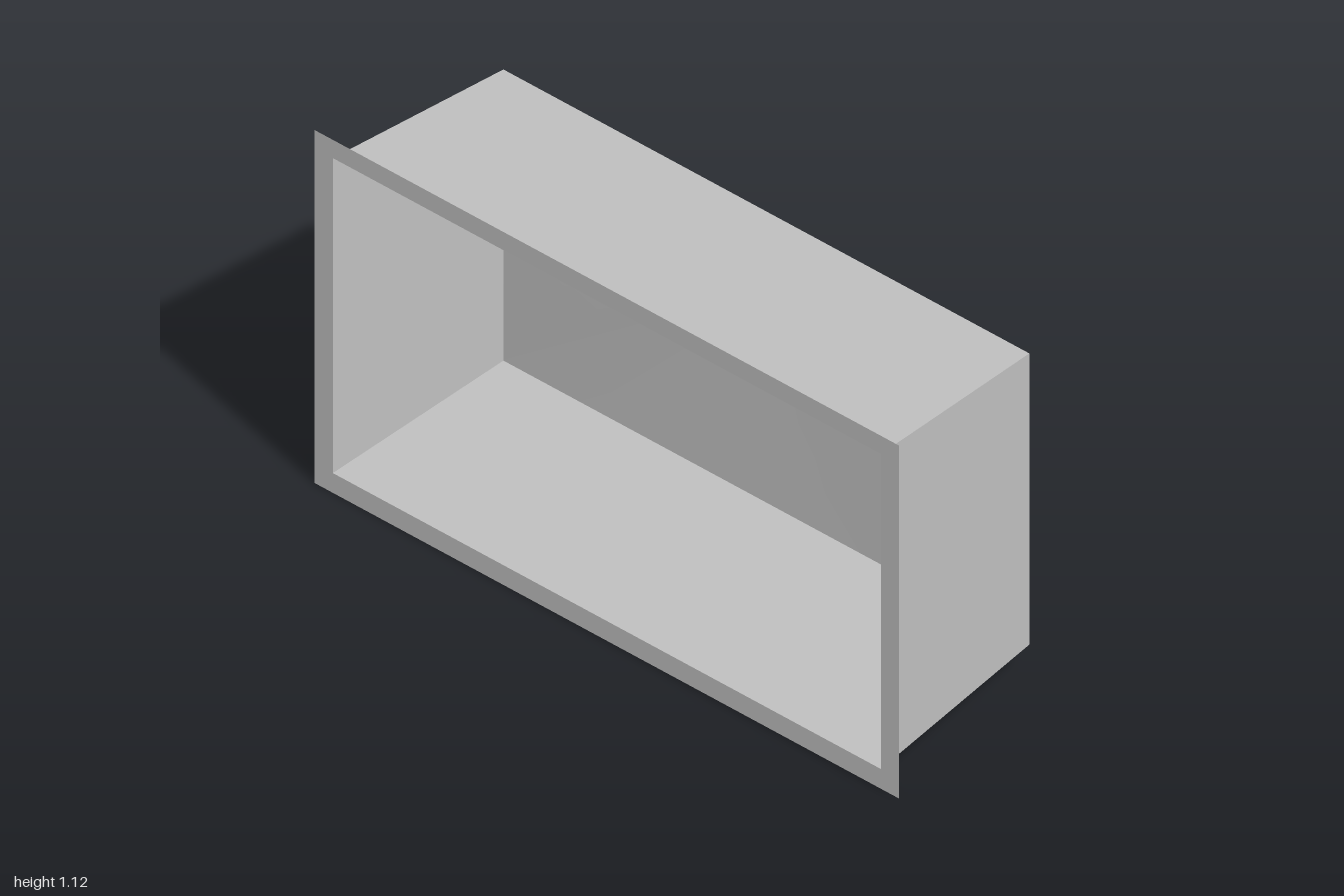
import * as THREE from 'three';

const FRONT = 0.318, FLOOR = -0.29, DRAIN_Z = -0.305, DRAIN_Y = 0.77, DRAIN_R = 0.147;

// Closed band of quads between two loops with equal numbers of points
function loft(a, b) {
  const n = a.length, index = [];
  for (let i = 0; i < n; i++) {
    const j = (i + 1) % n;
    index.push(i, j, n + j, i, n + j, n + i);
  }
  const g = new THREE.BufferGeometry().setFromPoints([...a, ...b]);
  g.setIndex(index);
  g.computeVertexNormals();
  return g;
}

// Rectangle corners, anticlockwise from the lower left
function rect(x, y0, y1, z) {
  return [[-x, y0], [x, y0], [x, y1], [-x, y1]].map(([px, py]) => new THREE.Vector3(px, py, z));
}

export function createModel() {
  const group = new THREE.Group();
  group.name = 'sink';
  const steel = new THREE.MeshStandardMaterial({ color: 0xbfbfbf, side: THREE.DoubleSide });
  steel.name = 'brushed steel';
  const add = (name, geometry) => {
    const mesh = new THREE.Mesh(geometry, steel);
    mesh.name = name;
    group.add(mesh);
    return mesh;
  };

  const mouth = rect(0.938, 0.063, 1.067, FRONT);
  const base = rect(0.9, 0.1, 1.028, FLOOR);

  // Flat mounting flange around the mouth
  const flange = new THREE.Shape(rect(1, 0, 1.125, 0).map(p => new THREE.Vector2(p.x, p.y)));
  flange.holes.push(new THREE.Path(mouth.map(p => new THREE.Vector2(p.x, p.y))));
  add('flange', new THREE.ShapeGeometry(flange)).position.z = FRONT;

  // Four tapered walls with sharp corners
  const walls = loft(mouth, base).toNonIndexed();
  walls.computeVertexNormals();
  add('basinWalls', walls);

  // Basin floor sloping to the drain: rays from the drain meet the rectangle, corners included
  const angles = base.map(p => Math.atan2(p.y - DRAIN_Y, p.x));
  for (let i = 0; i < 64; i++) angles.push(-Math.PI + (i + 0.5) * Math.PI / 32);
  angles.sort((p, q) => p - q);
  const outer = [], inner = [];
  for (const a of angles) {
    const c = Math.cos(a), s = Math.sin(a);
    const reach = Math.min(0.9 / Math.abs(c), (s > 0 ? 1.028 - DRAIN_Y : DRAIN_Y - 0.1) / Math.abs(s));
    outer.push(new THREE.Vector3(c * reach, DRAIN_Y + s * reach, FLOOR));
    inner.push(new THREE.Vector3(c * DRAIN_R, DRAIN_Y + s * DRAIN_R, DRAIN_Z));
  }
  add('basinFloor', loft(outer, inner));

  // Recessed drain ring with an open centre
  const profile = [[DRAIN_R, DRAIN_Z], [0.144, -0.311], [0.137, -0.316], [0.13, -0.318], [0.112, -0.318]];
  const drain = new THREE.LatheGeometry(profile.map(p => new THREE.Vector2(...p)), 64);
  drain.rotateX(Math.PI / 2);
  add('drainRing', drain).position.y = DRAIN_Y;

  return group;
}
